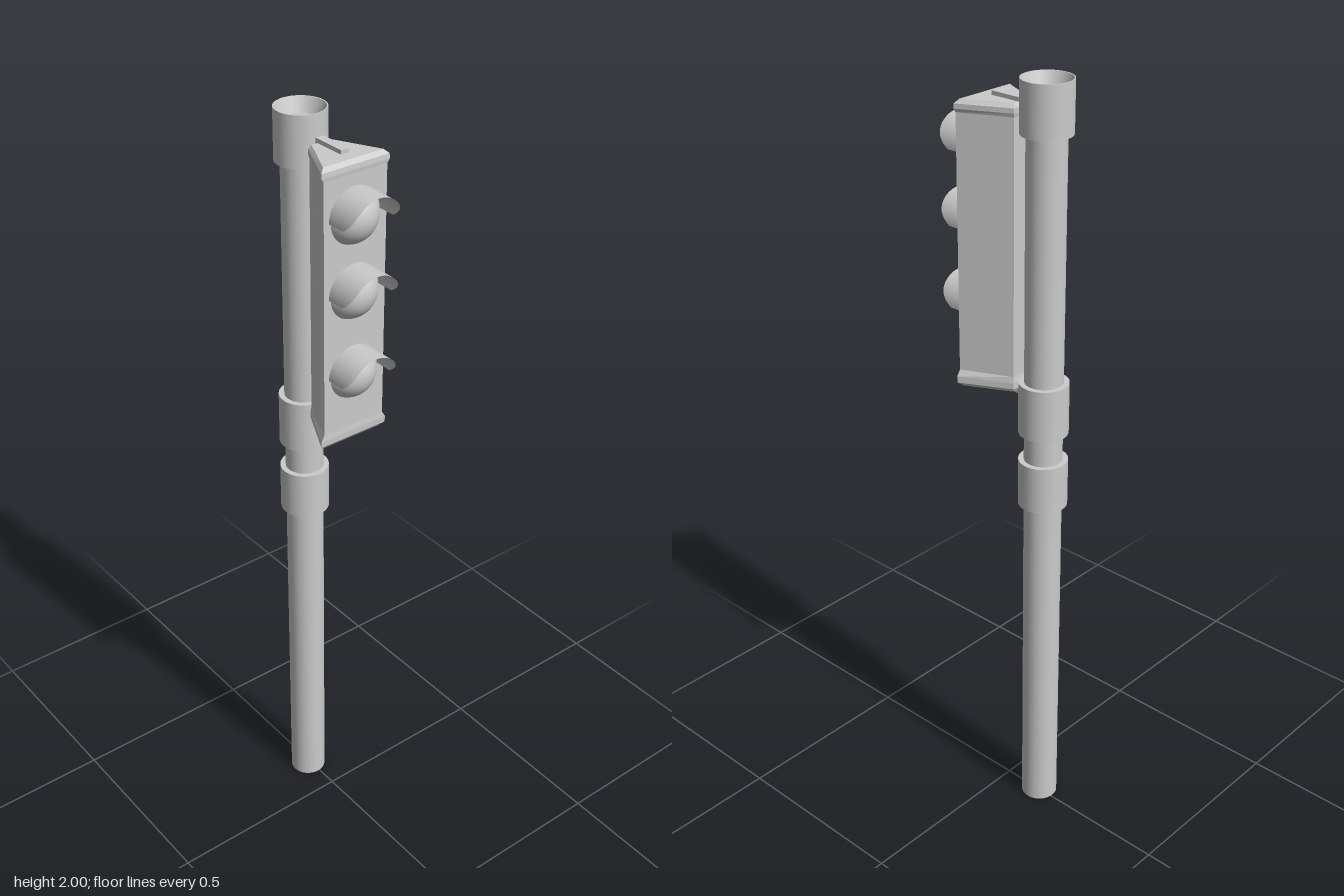
import * as THREE from 'three';

const material = new THREE.MeshStandardMaterial({ color: 0xcccccc });
const thinMaterial = new THREE.MeshStandardMaterial({ color: 0xcccccc, side: THREE.DoubleSide });
const POLE_X = -0.005, POLE_Z = -0.108;
const LAMP_HEIGHTS = [1.805, 1.62, 1.412];

function add(parent, name, geometry, x = 0, y = 0, z = 0, mat = material) {
  const mesh = new THREE.Mesh(geometry, mat);
  mesh.name = name;
  mesh.position.set(x, y, z);
  parent.add(mesh);
  return mesh;
}

// Upright cylinder between two heights on the pole axis
function poleSection(parent, name, radius, y0, y1) {
  add(parent, name, new THREE.CylinderGeometry(radius, radius, y1 - y0, 40), POLE_X, (y0 + y1) / 2, POLE_Z);
}

// Tapered box lofted through stacked trapezoid sections
function housingGeometry() {
  // height, front half width, back half width, front z, back z
  const sections = [
    [1.226, 0.084, 0.027, 0.075, -0.039],
    [1.236, 0.097, 0.033, 0.083, -0.044],
    [1.252, 0.097, 0.033, 0.084, -0.044],
    [1.268, 0.088, 0.031, 0.083, -0.042],
    [1.905, 0.088, 0.031, 0.083, -0.042],
    [1.914, 0.094, 0.033, 0.084, -0.044],
    [1.926, 0.094, 0.033, 0.083, -0.044],
    [1.936, 0.083, 0.027, 0.075, -0.039],
  ];
  const rings = sections.map(([y, f, b, zf, zb]) => [[-f, y, zf], [f, y, zf], [b, y, zb], [-b, y, zb]]);
  const positions = [];
  const quad = (a, b, c, d) => positions.push(...a, ...b, ...c, ...a, ...c, ...d);
  for (let i = 0; i < rings.length - 1; i++) {
    for (let k = 0; k < 4; k++) {
      const n = (k + 1) % 4;
      quad(rings[i][k], rings[i][n], rings[i + 1][n], rings[i + 1][k]);
    }
  }
  quad(...rings[rings.length - 1]);
  quad(...[...rings[0]].reverse());
  const geometry = new THREE.BufferGeometry();
  geometry.setAttribute('position', new THREE.Float32BufferAttribute(positions, 3));
  geometry.computeVertexNormals();
  return geometry;
}

// Half-round hood whose front edge sweeps back towards its lower sides
function visorGeometry(radius) {
  const geometry = new THREE.PlaneGeometry(1, 1, 32, 4);
  const p = geometry.attributes.position;
  for (let i = 0; i < p.count; i++) {
    const angle = p.getX(i) * Math.PI;
    const t = p.getY(i) + 0.5;
    const frontZ = 0.168 - 0.038 * Math.pow(1 - Math.cos(angle), 3);
    p.setXYZ(i, Math.sin(angle) * radius, Math.cos(angle) * radius, THREE.MathUtils.lerp(frontZ, 0.078, t));
  }
  geometry.computeVertexNormals();
  return geometry;
}

export function createModel() {
  const model = new THREE.Group();
  model.name = 'trafficSignal';

  // Pole with two joint sleeves
  const pole = new THREE.Group();
  pole.name = 'pole';
  model.add(pole);
  poleSection(pole, 'shaft', 0.048, 0, 1.96);
  poleSection(pole, 'lowerSleeve', 0.062, 0.93, 1.055);
  poleSection(pole, 'middleSleeve', 0.062, 1.13, 1.265);

  // Top sleeve with a recessed, funnel-shaped mouth
  const outer = [[0.045, 1.875], [0.062, 1.875]];
  const wall = [[0.062, 1.875], [0.062, 2]];
  const mouth = [[0.062, 2], [0.059, 2]];
  const funnel = [[0.059, 2], [0.045, 1.965]];
  const floor = [[0.045, 1.965], [0, 1.969]];
  const topSleeve = new THREE.Group();
  topSleeve.name = 'topSleeve';
  pole.add(topSleeve);
  const names = ['underside', 'wall', 'rim', 'funnel', 'floor'];
  [outer, wall, mouth, funnel, floor].forEach((profile, i) => {
    const points = profile.map(([r, y]) => new THREE.Vector2(r, y));
    add(topSleeve, names[i], new THREE.LatheGeometry(points, 40), POLE_X, 0, POLE_Z, thinMaterial);
  });

  // Signal housing and the bars that hold it to the sleeves
  add(model, 'housing', housingGeometry());
  for (const [name, y] of [['topBracket', 1.935], ['bottomBracket', 1.228]]) {
    add(model, name, new THREE.BoxGeometry(0.022, 0.022, 0.1), 0.001, y, -0.006);
  }

  // Three round lamps, each under its own hood
  for (const y of LAMP_HEIGHTS) {
    const lamp = new THREE.Group();
    lamp.name = 'lamp';
    lamp.position.set(-0.003, y, 0);
    model.add(lamp);
    add(lamp, 'lens', new THREE.SphereGeometry(0.07, 32, 24), 0, 0, 0.06);
    add(lamp, 'visor', visorGeometry(0.071), 0, 0, 0, thinMaterial);
  }
  return model;
}
